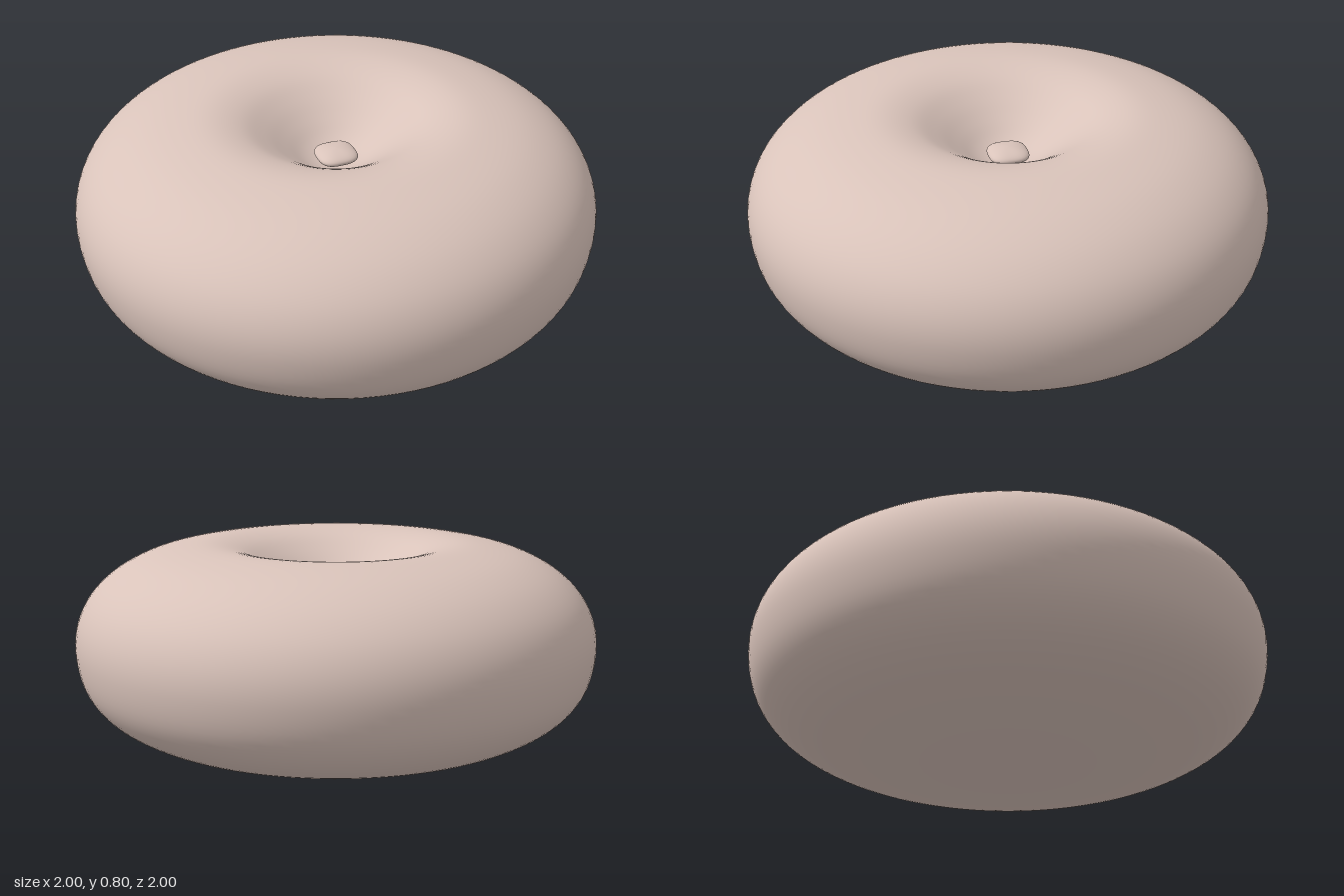
import * as THREE from 'three';

const material = new THREE.MeshStandardMaterial({ color: 0xd9c3ba, side: THREE.DoubleSide });

// Smooth solid of revolution through a few (radius, height) points
function cushionGeometry() {
  const profile = [
    [0, 0.0], [0.2, 0.004], [0.4, 0.02], [0.6, 0.048], [0.78, 0.1], [0.9, 0.175], [0.97, 0.27],
    [1, 0.4], [0.99, 0.505], [0.945, 0.6], [0.86, 0.685], [0.74, 0.75], [0.6, 0.788], [0.47, 0.8],
    [0.36, 0.777], [0.27, 0.728], [0.19, 0.672], [0.12, 0.624], [0.06, 0.6], [0, 0.595],
  ].map(([r, y]) => new THREE.Vector3(r, y, 0));
  const points = new THREE.CatmullRomCurve3(profile).getPoints(90)
    .map((p) => new THREE.Vector2(Math.max(p.x, 0), p.y));
  return new THREE.LatheGeometry(points, 96);
}

// Sphere pushed towards a rounded square in plan, then flattened
function buttonGeometry() {
  const geometry = new THREE.SphereGeometry(1, 40, 20);
  const pos = geometry.attributes.position;
  for (let i = 0; i < pos.count; i++) {
    const x = pos.getX(i), y = pos.getY(i), z = pos.getZ(i);
    const r = Math.hypot(x, z) || 1;
    const square = r / Math.pow(Math.abs(x) ** 3 + Math.abs(z) ** 3 || 1, 1 / 3);
    pos.setXYZ(i, x * square * 0.078, y * 0.028, z * square * 0.078);
  }
  geometry.computeVertexNormals();
  return geometry;
}

export function createModel() {
  const group = new THREE.Group();
  group.name = 'roundCushion';

  // Round body with a dimpled top
  const body = new THREE.Mesh(cushionGeometry(), material);
  body.name = 'cushionBody';

  // Button at the bottom of the dimple
  const button = new THREE.Mesh(buttonGeometry(), material);
  button.name = 'centreButton';
  button.position.y = 0.626;

  group.add(body, button);
  return group;
}
